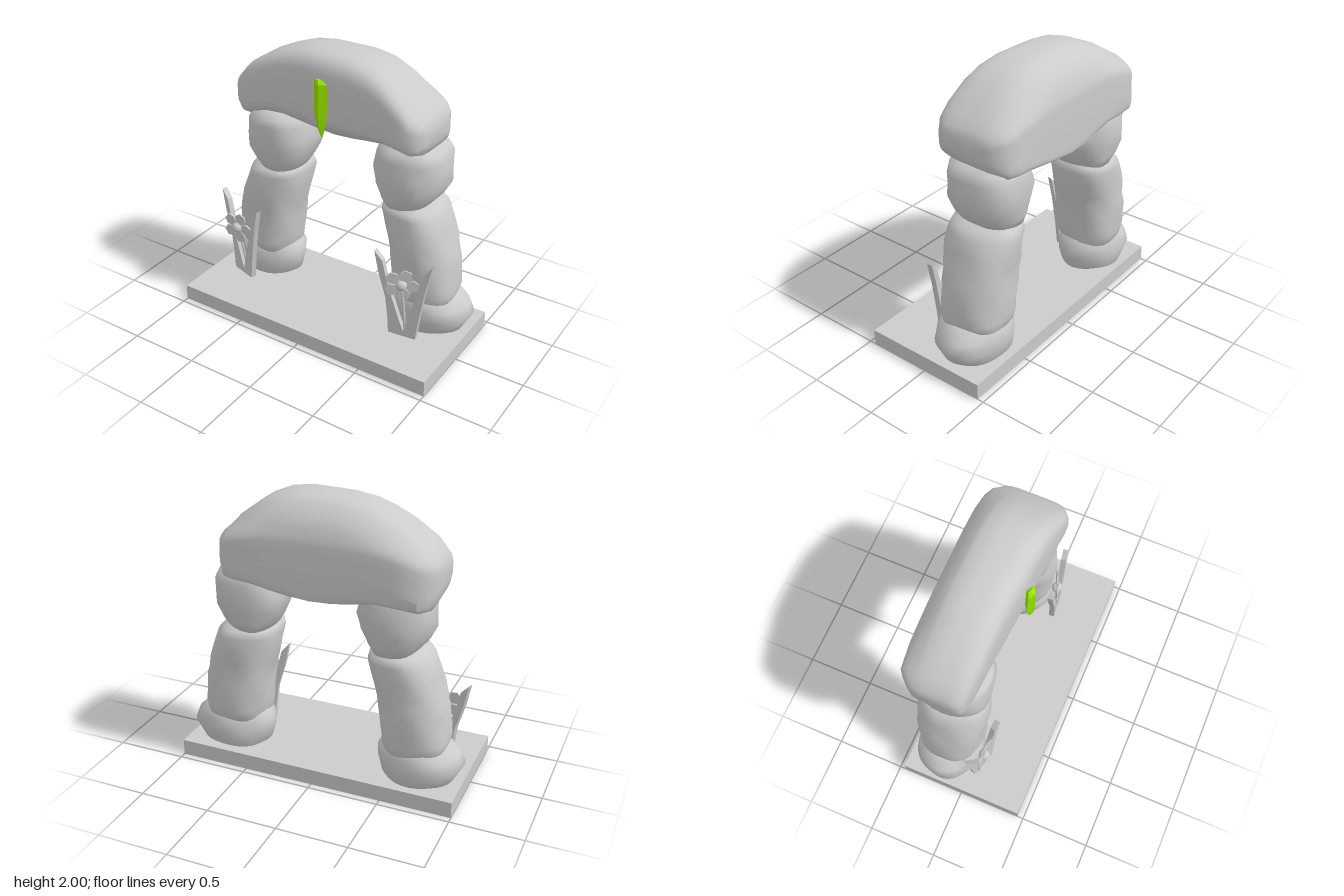
import * as THREE from 'three';
import { toCreasedNormals } from 'three/addons/utils/BufferGeometryUtils.js';

const material = (color = 0xcccccc) => new THREE.MeshStandardMaterial({ color });
const grey = material();

function add(parent, name, geometry, mat = grey) {
  const mesh = new THREE.Mesh(geometry, mat);
  mesh.name = name;
  parent.add(mesh);
  return mesh;
}

// Closed skin over sections [t, a0, a1, b0, b1]: t runs along the axis, a and b bound each section.
// axis 'y': a = x, b = z.   axis 'x': a = z, b = y.
function loft(sections, { axis = 'y', sides = 32, power = 2, lumps = 0, seed = 0 } = {}) {
  const pos = [], index = [];
  const put = (t, a, b) => (axis === 'y' ? pos.push(a, t, b) : pos.push(t, b, a));
  const bend = (v) => Math.sign(v) * Math.pow(Math.abs(v), 2 / power);
  for (const [t, a0, a1, b0, b1] of sections) {
    for (let j = 0; j < sides; j++) {
      const q = (j / sides) * Math.PI * 2;
      const k = 1 + lumps * (Math.sin(3 * q + 9 * t + seed) + Math.sin(5 * q - 17 * t + 2 * seed));
      put(t, (a0 + a1) / 2 + (k * bend(Math.cos(q)) * (a1 - a0)) / 2,
        (b0 + b1) / 2 + (k * bend(Math.sin(q)) * (b1 - b0)) / 2);
    }
  }
  const last = sections.length - 1;
  for (let i = 0; i < last; i++) {
    for (let j = 0; j < sides; j++) {
      const n = (j + 1) % sides;
      const p = i * sides + j, r = i * sides + n;
      index.push(p, p + sides, r, r, p + sides, r + sides);
    }
  }
  // End caps
  for (const i of [0, last]) {
    const [t, a0, a1, b0, b1] = sections[i];
    const c = pos.length / 3;
    put(t, (a0 + a1) / 2, (b0 + b1) / 2);
    for (let j = 0; j < sides; j++) {
      const p = i * sides + j, r = i * sides + ((j + 1) % sides);
      index.push(...(i === 0 ? [c, p, r] : [c, r, p]));
    }
  }
  const geometry = new THREE.BufferGeometry();
  geometry.setAttribute('position', new THREE.Float32BufferAttribute(pos, 3));
  geometry.setIndex(index);
  geometry.computeVertexNormals();
  return geometry;
}

// Stones of the pillar on the +x side, rows of [y, x0, x1, z0, z1]
const STONES = {
  footStone: { power: 1.95, rows: [
    [0.10, 0.47, 0.90, -0.37, -0.01], [0.13, 0.43, 0.94, -0.41, 0.02], [0.23, 0.40, 1.00, -0.43, 0.05],
    [0.31, 0.40, 0.97, -0.42, 0.04], [0.38, 0.45, 0.89, -0.39, 0.02], [0.43, 0.54, 0.80, -0.30, -0.06],
  ] },
  shaftStone: { power: 2.4, rows: [
    [0.28, 0.47, 0.84, -0.37, -0.01], [0.36, 0.44, 0.88, -0.41, 0.03], [0.42, 0.43, 0.89, -0.42, 0.04],
    [0.50, 0.42, 0.88, -0.42, 0.04], [0.62, 0.41, 0.87, -0.43, 0.05], [0.70, 0.40, 0.85, -0.42, 0.05],
    [0.78, 0.38, 0.83, -0.43, 0.06], [0.88, 0.36, 0.80, -0.43, 0.06], [0.98, 0.34, 0.77, -0.43, 0.05],
    [1.03, 0.35, 0.72, -0.41, 0.04], [1.07, 0.41, 0.65, -0.34, -0.04],
  ] },
  topStone: { power: 2.4, rows: [
    [0.99, 0.42, 0.61, -0.32, -0.05], [1.04, 0.36, 0.66, -0.40, 0.03], [1.10, 0.32, 0.71, -0.42, 0.05],
    [1.19, 0.28, 0.76, -0.44, 0.07], [1.28, 0.26, 0.76, -0.45, 0.07], [1.38, 0.28, 0.76, -0.44, 0.06],
    [1.44, 0.30, 0.73, -0.42, 0.05], [1.48, 0.38, 0.66, -0.36, -0.02],
  ] },
};

function pillar(side) {
  const group = new THREE.Group();
  group.name = side > 0 ? 'leftPillar' : 'rightPillar';
  Object.entries(STONES).forEach(([name, { power, rows }], i) => {
    const sections = side > 0 ? rows : rows.map(([y, x0, x1, z0, z1]) => [y, -x1, -x0, z0, z1]);
    add(group, name, loft(sections, { power, lumps: 0.02, seed: i * 2 + side }));
  });
  return group;
}

// Lintel: rows of [x, z0, z1, y0, y1]
function lintel() {
  const geometry = loft([
    [-0.81, -0.30, -0.04, 1.50, 1.64], [-0.795, -0.35, -0.01, 1.43, 1.68], [-0.765, -0.39, 0.00, 1.37, 1.72],
    [-0.71, -0.44, 0.02, 1.37, 1.78], [-0.55, -0.45, 0.04, 1.41, 1.88], [-0.42, -0.45, 0.05, 1.41, 1.94],
    [-0.30, -0.45, 0.06, 1.39, 1.98], [-0.15, -0.45, 0.07, 1.37, 2.00], [0.00, -0.45, 0.085, 1.36, 2.00],
    [0.15, -0.45, 0.095, 1.37, 2.00], [0.30, -0.45, 0.105, 1.39, 1.975], [0.42, -0.45, 0.115, 1.41, 1.92],
    [0.55, -0.44, 0.125, 1.42, 1.82], [0.62, -0.42, 0.12, 1.42, 1.75], [0.675, -0.36, 0.08, 1.45, 1.70],
    [0.70, -0.29, 0.02, 1.51, 1.65],
  ], { axis: 'x', sides: 48, power: 4.2 });
  // Underside rises towards the front and meets the back squarely; top edge falls away at the back
  const { clamp } = THREE.MathUtils;
  const ramp = (v, length) => clamp(v / length, 0, 1);
  const p = geometry.attributes.position;
  for (let i = 0; i < p.count; i++) {
    const x = p.getX(i), y = p.getY(i), z = p.getZ(i);
    const middle = 1 - ramp(Math.abs(x) - 0.45, 0.25);
    const rise = 0.09 * ramp(z + 0.25, 0.33) * ramp(1.6 - y, 0.2) * (0.4 + 0.6 * middle);
    const fall = 0.12 * ramp(-0.27 - z, 0.18) * ramp(y - 1.65, 0.25);
    const square = 0.05 * ramp(-0.3 - z, 0.12) * ramp(1.6 - y, 0.2) * ramp(0.76 - Math.abs(x), 0.15);
    p.setXYZ(i, x, Math.max(y + rise - fall - square, 1.36), Math.max(z - square, -0.455));
  }
  geometry.computeVertexNormals();
  return toCreasedNormals(geometry, 0.8);
}

// Flat blade of grass cut from an outline
function blade(points) {
  const shape = new THREE.Shape(points.map(([x, y]) => new THREE.Vector2(x, y)));
  return new THREE.ExtrudeGeometry(shape, { depth: 0.04, bevelEnabled: false }).translate(0, 0, -0.02);
}

function plant(x, z, grassTurn, flowerTurn, flowerZ) {
  const group = new THREE.Group();
  group.name = 'floweringPlant';
  group.position.set(x, 0, z);

  const grass = new THREE.Group();
  grass.name = 'grass';
  grass.rotation.y = grassTurn;
  group.add(grass);
  add(grass, 'outerBlade', blade([
    [-0.08, 0.11], [0.05, 0.11], [0.0, 0.23], [-0.06, 0.40], [-0.11, 0.56], [-0.14, 0.68], [-0.20, 0.745],
    [-0.165, 0.58], [-0.11, 0.40], [-0.09, 0.25]]));
  add(grass, 'innerBlade', blade([
    [0.02, 0.11], [0.12, 0.11], [0.145, 0.32], [0.18, 0.54], [0.22, 0.725], [0.165, 0.66],
    [0.11, 0.45], [0.06, 0.28]]));

  // Flower on a thin stem
  const flower = new THREE.Group();
  flower.name = 'flower';
  flower.position.set(0, 0.52, flowerZ);
  flower.rotation.y = flowerTurn;
  group.add(flower);
  add(flower, 'flowerCentre', new THREE.SphereGeometry(0.04, 16, 12));
  for (let i = 0; i < 5; i++) {
    const a = 1.2 + (i * Math.PI * 2) / 5;
    const petal = add(flower, 'petal', new THREE.CylinderGeometry(0.047, 0.047, 0.012, 6).rotateX(Math.PI / 2));
    petal.position.set(Math.cos(a) * 0.077, Math.sin(a) * 0.077, 0);
    petal.rotation.z = a;
  }
  const path = new THREE.QuadraticBezierCurve3(new THREE.Vector3(0, 0.51, flowerZ),
    new THREE.Vector3(0.03, 0.34, flowerZ / 2), new THREE.Vector3(0.04, 0.11, 0));
  add(group, 'stem', new THREE.TubeGeometry(path, 8, 0.009, 6));
  return group;
}

export function createModel() {
  const model = new THREE.Group();
  model.name = 'stoneArch';

  add(model, 'base', new THREE.BoxGeometry(2, 0.115, 0.91)).position.y = 0.0575;
  model.add(pillar(1), pillar(-1));
  add(model, 'lintel', lintel());

  // Green crystal set into the front of the lintel
  const crystal = loft([
    [1.47, -0.015, -0.005, 0.115, 0.125], [1.53, -0.045, 0.015, 0.095, 0.14],
    [1.63, -0.068, 0.032, 0.085, 0.15], [1.84, -0.065, 0.036, 0.09, 0.152], [1.865, -0.06, 0.0, 0.11, 0.13],
  ], { sides: 4 });
  add(model, 'crystal', toCreasedNormals(crystal, 0.1), material(0x99e600));

  model.add(plant(-0.77, 0.055, -0.29, 0, 0.05), plant(0.61, 0.09, 0.1, 0.4, 0.005));
  return model;
}
